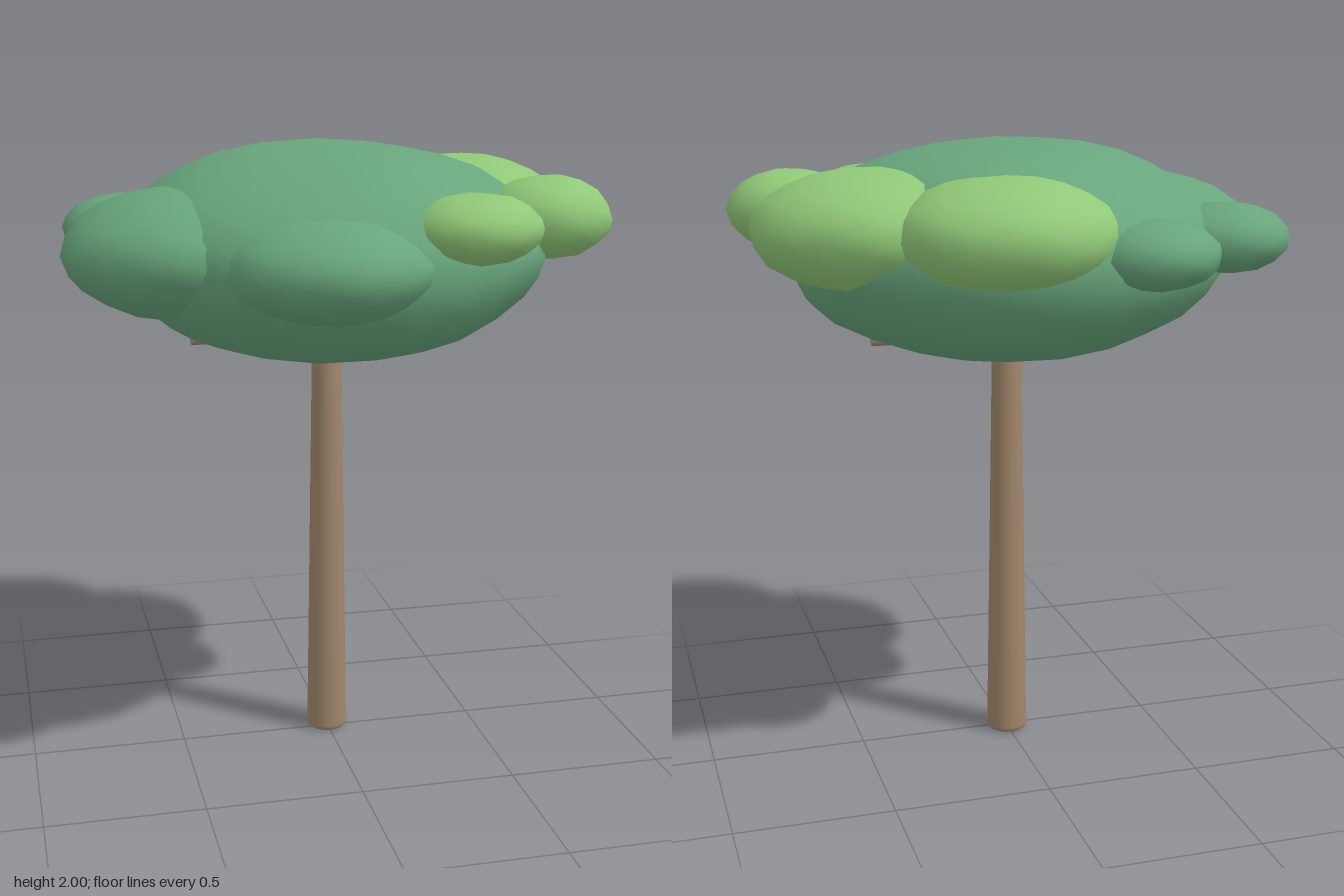
import * as THREE from 'three';
import { mergeVertices } from 'three/addons/utils/BufferGeometryUtils.js';

const material = (name, color) => {
  const m = new THREE.MeshStandardMaterial({ color });
  m.name = name;
  return m;
};

// Slightly lumpy, smooth-shaded ellipsoid of leaves
function leafClump(name, mat, [x, y, z], [rx, ry, rz], detail, seed) {
  let g = new THREE.IcosahedronGeometry(1, detail);
  g.deleteAttribute('uv');
  g.deleteAttribute('normal');
  g = mergeVertices(g, 1e-4);
  const p = g.attributes.position;
  const v = new THREE.Vector3();
  for (let i = 0; i < p.count; i++) {
    v.fromBufferAttribute(p, i);
    const lump = Math.sin(v.x * 5 + seed) * Math.sin(v.y * 5 + seed * 2) * Math.sin(v.z * 5 + seed * 3);
    v.multiplyScalar(1 + 0.03 * lump);
    p.setXYZ(i, v.x * rx, v.y * ry, v.z * rz);
  }
  g.computeVertexNormals();
  const mesh = new THREE.Mesh(g, mat);
  mesh.name = name;
  mesh.position.set(x, y, z);
  return mesh;
}

export function createModel() {
  const tree = new THREE.Group();
  tree.name = 'tree';
  const bark = material('bark brown', 0xa1866b);
  const dark = material('dark leaf green', 0x68a57c);
  const light = material('light leaf green', 0x90c878);

  // Tapered trunk with a small rounded foot
  const trunkProfile = [[0, 0], [0.058, 0], [0.065, 0.006], [0.067, 0.018], [0.047, 1.4], [0, 1.4]]
    .map(([r, y]) => new THREE.Vector2(r, y));
  const trunk = new THREE.Mesh(new THREE.LatheGeometry(trunkProfile, 24), bark);
  trunk.name = 'trunk';
  trunk.position.z = -0.015;
  tree.add(trunk);

  // Two short side branches under the crown
  for (const side of [-1, 1]) {
    const branch = new THREE.Mesh(new THREE.CylinderGeometry(0.023, 0.023, 0.443, 16), bark);
    branch.name = side > 0 ? 'leftBranch' : 'rightBranch';
    branch.rotation.z = Math.PI / 2;
    branch.position.set(side * 0.2215, 1.384, -0.015);
    tree.add(branch);
  }

  // Crown: one broad clump ringed by smaller ones
  const clumps = [
    ['mainCrown', dark, [0, 1.656, -0.01], [0.69, 0.345, 0.69], 4],
    ['rightClump', dark, [-0.46, 1.675, 0.1], [0.39, 0.205, 0.39], 3],
    ['frontClump', dark, [-0.1, 1.67, 0.44], [0.335, 0.17, 0.335], 3],
    ['backRightSmallClump', dark, [-0.28, 1.7, -0.57], [0.2, 0.105, 0.2], 2],
    ['rightBackSmallClump', dark, [-0.61, 1.705, -0.32], [0.205, 0.11, 0.2], 2],
    ['leftClump', light, [0.465, 1.75, -0.17], [0.37, 0.185, 0.37], 3],
    ['backClump', light, [0.13, 1.755, -0.44], [0.345, 0.175, 0.34], 3],
    ['leftSmallClump', light, [0.645, 1.77, 0.235], [0.205, 0.13, 0.205], 2],
    ['frontLeftSmallClump', light, [0.32, 1.778, 0.53], [0.2, 0.105, 0.195], 2],
  ];
  clumps.forEach(([name, mat, pos, radii, detail], i) =>
    tree.add(leafClump(name, mat, pos, radii, detail, i * 1.7 + 0.5)));

  return tree;
}
